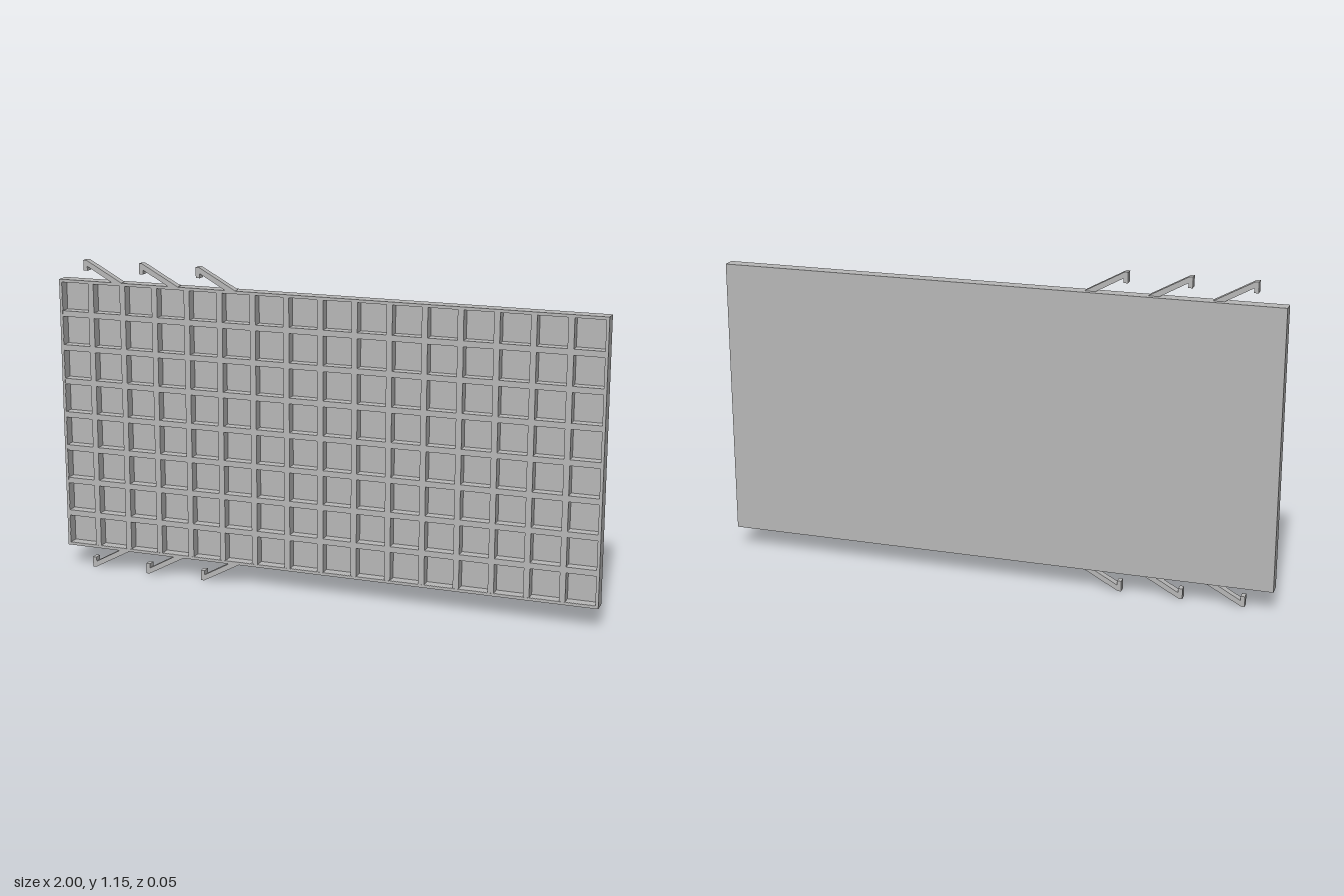
import * as THREE from 'three';

const W = 2, H = 1, Y0 = 0.075, BACK = -0.024, FRONT = 0.024;
const FLOOR = -0.014, RIM = 0.01, PITCH = 0.125, CELL = 0.105;

function rect(Type, x, y, w, h) {
  return new Type([[x, y], [x + w, y], [x + w, y + h], [x, y + h]].map(p => new THREE.Vector2(...p)));
}

function extrude(shape, z0, z1) {
  const g = new THREE.ExtrudeGeometry(shape, { depth: z1 - z0, bevelEnabled: false });
  return g.translate(0, 0, z0);
}

export function createModel() {
  const model = new THREE.Group();
  const gray = new THREE.MeshStandardMaterial({ color: 0xb8b8b8 });
  gray.name = 'plain gray';
  const add = (name, geometry) => {
    const mesh = new THREE.Mesh(geometry, gray);
    mesh.name = name;
    model.add(mesh);
  };

  // Solid back sheet
  add('backPanel', new THREE.BoxGeometry(W, H, FLOOR - BACK).translate(0, Y0 + H / 2, (FLOOR + BACK) / 2));

  // Thin outer rim
  const rim = rect(THREE.Shape, -W / 2, Y0, W, H);
  rim.holes.push(rect(THREE.Path, -W / 2 + RIM, Y0 + RIM, W - 2 * RIM, H - 2 * RIM));
  add('rim', extrude(rim, FLOOR, FRONT));

  // Waffle of stiffening ribs, just below the rim
  const ribs = rect(THREE.Shape, -W / 2 + RIM, Y0 + RIM, W - 2 * RIM, H - 2 * RIM);
  const inset = (PITCH - CELL) / 2 + 0.0005;
  for (let i = 0; i < 16; i++) {
    for (let j = 0; j < 8; j++) {
      ribs.holes.push(rect(THREE.Path, -W / 2 + i * PITCH + inset, Y0 + j * PITCH + inset,
        PITCH - 2 * inset, PITCH - 2 * inset));
    }
  }
  add('ribs', extrude(ribs, FLOOR, FRONT - 0.001));

  // Slanted clip arms with hooked tips, mirrored on the top and bottom edges
  const profile = [[0, 0.075], [0.012, 0.075], [0.148, 0.001], [0.148, -0.004], [0.118, -0.004],
    [0.015, 0.053], [0.015, 0.037], [0, 0.037]];
  for (const side of [1, -1]) {
    const edge = side > 0 ? Y0 + H : Y0;
    for (let k = 0; k < 3; k++) {
      const points = profile.map(([x, y]) => new THREE.Vector2(-0.9 + k * 0.219 + x, edge + side * y));
      add((side > 0 ? 'topClip' : 'bottomClip') + (k + 1), extrude(new THREE.Shape(points), -0.004, FRONT));
    }
  }
  return model;
}
